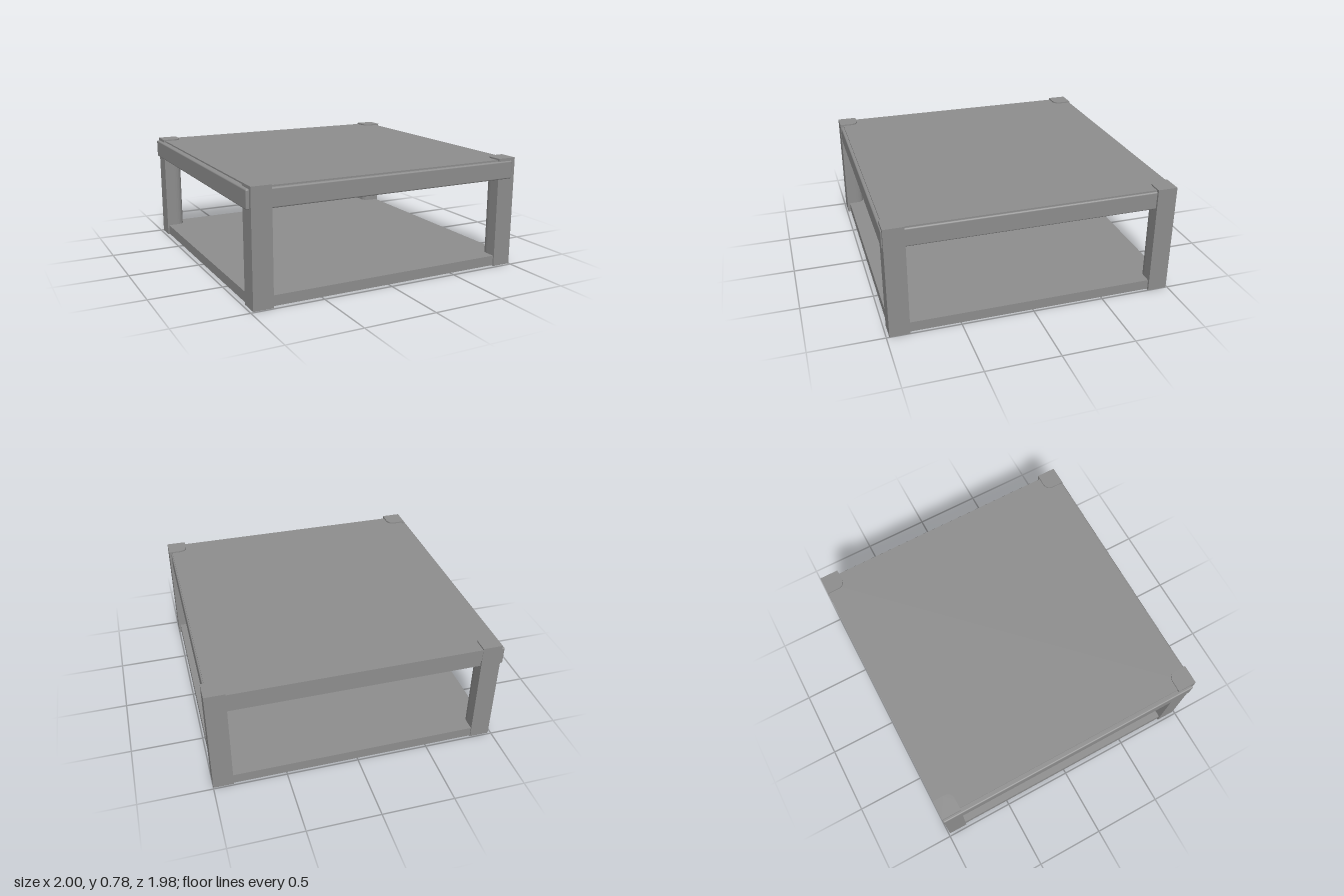
import * as THREE from 'three';
import { RoundedBoxGeometry } from 'three/addons/geometries/RoundedBoxGeometry.js';

export function createModel() {
  const table = new THREE.Group();
  table.name = 'lowTable';
  const darkGrey = new THREE.MeshStandardMaterial({ color: 0x8d8d8d });
  const lightGrey = new THREE.MeshStandardMaterial({ color: 0xcccccc });

  const add = (name, geometry, material = darkGrey) => {
    const mesh = new THREE.Mesh(geometry, material);
    mesh.name = name;
    table.add(mesh);
    return mesh;
  };

  // Place a board by its extents; a radius rounds its edges
  const board = (name, [x0, x1], [y0, y1], [z0, z1], radius = 0) => {
    const size = [x1 - x0, y1 - y0, z1 - z0];
    const geometry = radius
      ? new RoundedBoxGeometry(...size, 2, radius)
      : new THREE.BoxGeometry(...size);
    add(name, geometry).position.set((x0 + x1) / 2, (y0 + y1) / 2, (z0 + z1) / 2);
  };

  // Square post from its outer corner inwards, with the inner corner rounded
  const post = (name, x, z, sx, sz) => {
    const w = 0.137, r = 0.06;
    const corner = (a, b) => [x - sx * a, -(z - sz * b)];
    const shape = new THREE.Shape();
    shape.moveTo(...corner(0, 0));
    shape.lineTo(...corner(w, 0));
    shape.lineTo(...corner(w, w - r));
    shape.quadraticCurveTo(...corner(w, w), ...corner(w - r, w));
    shape.lineTo(...corner(0, w));
    shape.closePath();
    const geometry = new THREE.ExtrudeGeometry(shape, { depth: 0.777, bevelEnabled: false, curveSegments: 8 });
    add(name, geometry.rotateX(-Math.PI / 2));
  };

  // Corner posts
  post('frontRightPost', -0.98, 0.99, -1, 1);
  post('frontLeftPost', 1, 0.98, 1, 1);
  post('backRightPost', -0.98, -0.99, -1, -1);
  post('backLeftPost', 1, -0.99, 1, -1);

  // Bottom shelf
  board('shelf', [-0.97, 0.985], [0.005, 0.075], [-0.985, 0.97]);

  // Table top
  board('top', [-0.965, 0.975], [0.73, 0.767], [-0.988, 0.965]);

  // Aprons under the edges of the top
  board('frontApron', [-0.97, 0.975], [0.63, 0.757], [0.925, 0.987], 0.01);
  board('rightApron', [-1, -0.94], [0.63, 0.757], [-0.99, 0.965], 0.01);
  board('leftApron', [0.925, 0.985], [0.63, 0.757], [-0.97, 0.965], 0.01);
  board('backApron', [-0.965, 0.975], [0.63, 0.757], [-0.978, -0.92]);
  board('backLip', [-0.965, 0.975], [0.68, 0.757], [-0.988, -0.97]);

  // Lighter flat panels on the underside of the top, four by two
  for (const x of [-0.66, -0.22, 0.22, 0.66]) {
    for (const z of [-0.4, 0.32]) {
      add('undersidePanel', new THREE.BoxGeometry(0.37, 0.004, 0.46), lightGrey).position.set(x, 0.73, z);
    }
  }

  return table;
}
